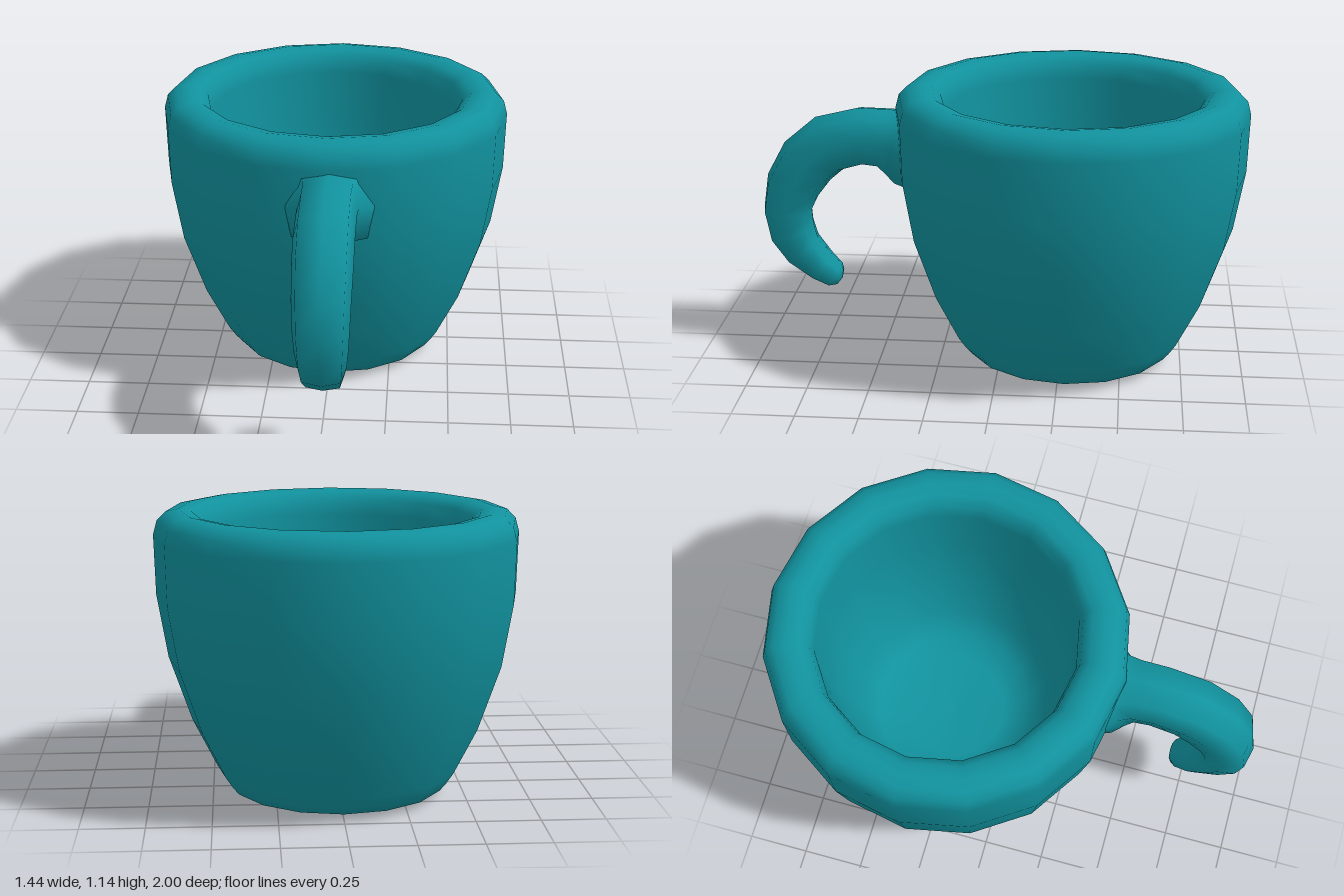
import * as THREE from 'three';

const SIDES = 8;

// Swept handle: each ring is [z, y, half width, half thickness]
function handleGeometry(rings) {
  const pos = [], idx = [];
  const n = rings.length;
  rings.forEach(([z, y, w, t], i) => {
    const a = rings[Math.max(i - 1, 0)], b = rings[Math.min(i + 1, n - 1)];
    const len = Math.hypot(b[0] - a[0], b[1] - a[1]);
    const tz = (b[0] - a[0]) / len, ty = (b[1] - a[1]) / len;
    for (let j = 0; j < SIDES; j++) {
      const ang = (j / SIDES) * Math.PI * 2;
      const k = j % 2 ? 1.14 : 1; // slightly squared cross-section
      const out = Math.cos(ang) * t * k;
      pos.push(Math.sin(ang) * w * k, y + tz * out, z - ty * out);
    }
  });
  for (let i = 0; i < n - 1; i++) {
    for (let j = 0; j < SIDES; j++) {
      const a = i * SIDES + j, b = i * SIDES + (j + 1) % SIDES;
      idx.push(a, a + SIDES, b, b, a + SIDES, b + SIDES);
    }
  }
  // Close the free tip
  const last = rings[n - 1], tip = n * SIDES;
  pos.push(0, last[1] - 0.005, last[0] - 0.008);
  for (let j = 0; j < SIDES; j++) {
    idx.push((n - 1) * SIDES + j, tip, (n - 1) * SIDES + (j + 1) % SIDES);
  }
  const g = new THREE.BufferGeometry();
  g.setAttribute('position', new THREE.Float32BufferAttribute(pos, 3));
  g.setIndex(idx);
  g.computeVertexNormals();
  return g;
}

export function createModel() {
  const group = new THREE.Group();
  group.name = 'cup';
  const teal = new THREE.MeshStandardMaterial({ color: 0x11929e });
  teal.name = 'teal glaze';

  // Bowl: outside wall, rounded rim, then inside wall down to the floor
  const profile = [
    [0, 0], [0.25, 0.005], [0.38, 0.01], [0.43, 0.025], [0.455, 0.055], [0.485, 0.1],
    [0.58, 0.29], [0.67, 0.55], [0.713, 0.8], [0.72, 1.04], [0.705, 1.095],
    [0.67, 1.13], [0.62, 1.14], [0.57, 1.13], [0.535, 1.1], [0.52, 1.04],
    [0.51, 0.8], [0.47, 0.56], [0.4, 0.35], [0.33, 0.24], [0.22, 0.2], [0, 0.19],
  ].map(([r, y]) => new THREE.Vector2(r, y));
  const bowl = new THREE.Mesh(new THREE.LatheGeometry(profile, 16), teal);
  bowl.name = 'bowl';
  bowl.position.z = -0.28;
  group.add(bowl);

  // Open hook handle, flared where it joins the bowl
  const handle = new THREE.Mesh(handleGeometry([
    [0.33, 0.875, 0.2, 0.17], [0.4, 0.885, 0.175, 0.155], [0.44, 0.9, 0.135, 0.135],
    [0.49, 0.915, 0.118, 0.12], [0.58, 0.92, 0.115, 0.118], [0.715, 0.885, 0.115, 0.123],
    [0.81, 0.805, 0.114, 0.122], [0.875, 0.7, 0.11, 0.113], [0.9, 0.6, 0.106, 0.1],
    [0.885, 0.5, 0.1, 0.094], [0.842, 0.42, 0.092, 0.078], [0.765, 0.345, 0.08, 0.06],
    [0.71, 0.305, 0.06, 0.05], [0.688, 0.296, 0.04, 0.032],
  ]), teal);
  handle.name = 'handle';
  handle.position.x = 0.018;
  group.add(handle);

  return group;
}
